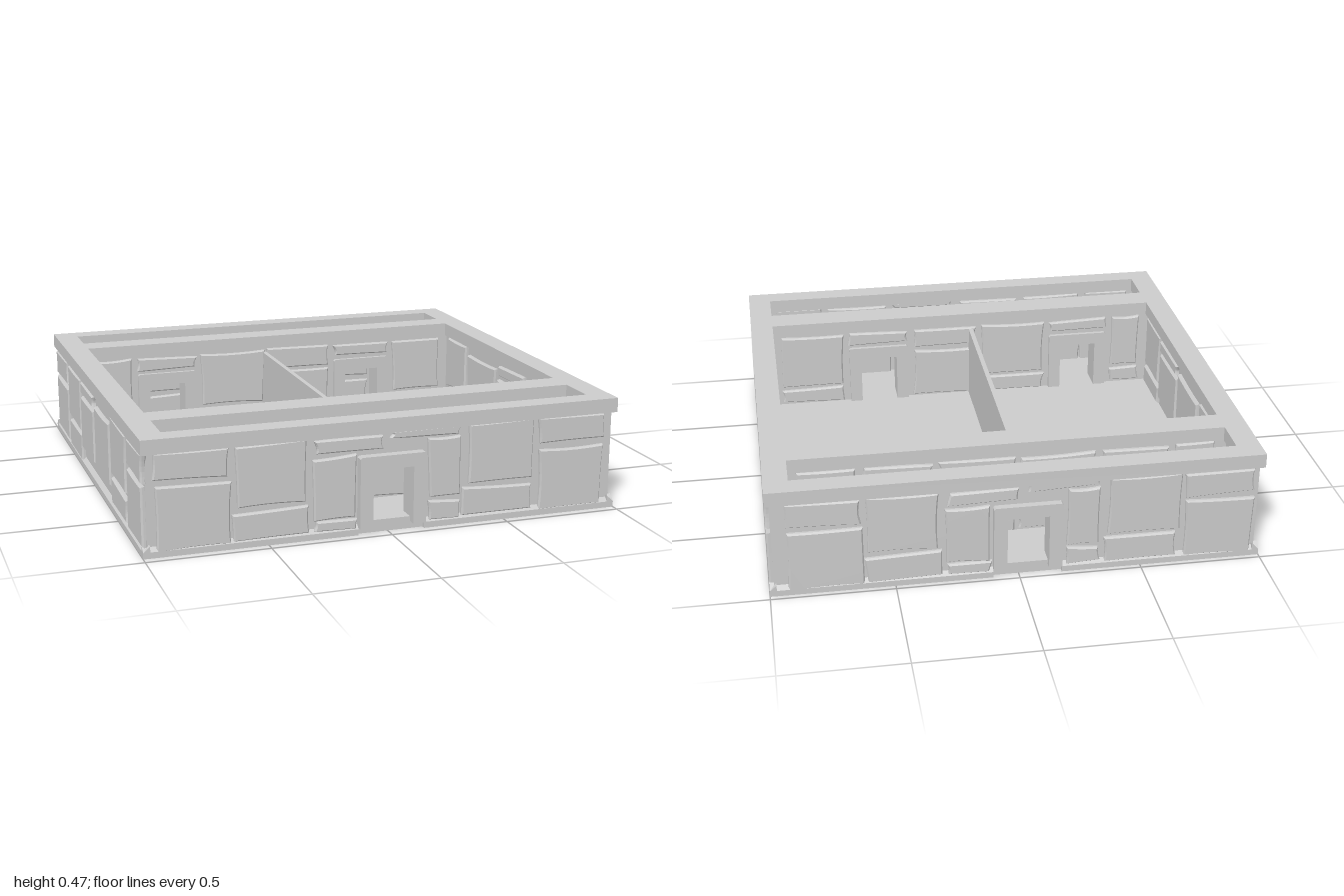
import * as THREE from 'three';

const OUT = 0.018;            // how far stones and cap stand out from the wall body
const FLOOR = 0.05, CAP_Y = 0.41, TOP = 0.47;
const mat = new THREE.MeshStandardMaterial({ color: 0xcccccc, flatShading: true });

let seed = 7;
const rand = () => (seed = (seed * 16807) % 2147483647) / 2147483647 - 0.5;

function add(parent, name, geo, x = 0, y = 0, z = 0) {
  const m = new THREE.Mesh(geo, mat);
  m.name = name;
  m.position.set(x, y, z);
  parent.add(m);
  return m;
}

function box(parent, name, x0, x1, y0, y1, z0, z1) {
  return add(parent, name, new THREE.BoxGeometry(x1 - x0, y1 - y0, z1 - z0),
    (x0 + x1) / 2, (y0 + y1) / 2, (z0 + z1) / 2);
}

function rect(x0, x1, y0, y1, Type = THREE.Shape) {
  const s = new Type();
  s.moveTo(x0, y0); s.lineTo(x1, y0); s.lineTo(x1, y1); s.lineTo(x0, y1); s.closePath();
  return s;
}

// Rough stone slab: uneven corners, bowed edges, bevelled rim
function stone(x0, x1, y0, y1) {
  const b = 0.006, j = () => rand() * 0.014;
  const c = [[x0 + b, y0 + b], [x1 - b, y0 + b], [x1 - b, y1 - b], [x0 + b, y1 - b]]
    .map(([x, y]) => [x + j(), y + j()]);
  const mx = (x0 + x1) / 2, my = (y0 + y1) / 2;
  const s = new THREE.Shape();
  s.moveTo(...c[0]);
  for (let i = 0; i < 4; i++) {
    const p = c[i], q = c[(i + 1) % 4];
    const ex = (p[0] + q[0]) / 2, ey = (p[1] + q[1]) / 2, k = 0.05 + rand() * 0.1;
    s.quadraticCurveTo(ex + (mx - ex) * k, ey + (my - ey) * k, ...q);
  }
  return new THREE.ExtrudeGeometry(s, {
    depth: 0.01, bevelThickness: 0.008, bevelSize: b, bevelSegments: 1, curveSegments: 5,
  });
}

// A wall face covered with stones; local +z points out of the wall
function stoneFace(parent, name, list, x, z, turn) {
  const g = new THREE.Group();
  g.name = name;
  list.forEach(r => add(g, 'stone', stone(...r)));
  g.position.set(x, 0, z);
  g.rotation.y = turn;
  parent.add(g);
}

// Sloped skirting along a wall foot, from u0 to u1
function skirt(parent, u0, u1, x, z, turn) {
  const s = new THREE.Shape([[-0.01, 0], [OUT, 0], [OUT, 0.025], [-0.01, 0.05]]
    .map(p => new THREE.Vector2(...p)));
  const geo = new THREE.ExtrudeGeometry(s, { depth: u1 - u0, bevelEnabled: false });
  geo.rotateY(-Math.PI / 2).translate(u1, 0, 0);
  add(parent, 'skirting', geo, x, 0, z).rotation.y = turn;
}

// Wall across x with doorways, plus a frame in each doorway
function crossWall(parent, name, half, z0, z1, doors, f0, f1) {
  const s = rect(-half, half, 0.02, CAP_Y + 0.01);
  doors.forEach(d => s.holes.push(rect(d - 0.085, d + 0.085, FLOOR, 0.27, THREE.Path)));
  add(parent, name, new THREE.ExtrudeGeometry(s, { depth: z1 - z0, bevelEnabled: false }), 0, 0, z0);
  const f = new THREE.Shape([[-0.14, 0.03], [-0.085, 0.03], [-0.085, 0.27], [0.085, 0.27],
    [0.085, 0.03], [0.14, 0.03], [0.14, 0.318], [0.133, 0.325], [-0.133, 0.325], [-0.14, 0.318]]
    .map(p => new THREE.Vector2(...p)));
  doors.forEach(d => add(parent, 'doorFrame',
    new THREE.ExtrudeGeometry(f, { depth: f1 - f0, bevelEnabled: false }), d, 0, f0));
}

const frontStones = [
  [-0.95, -0.66, 0.30, 0.41], [-0.95, -0.65, 0.02, 0.28], [-0.63, -0.35, 0.16, 0.41],
  [-0.64, -0.34, 0.03, 0.14], [-0.32, -0.14, 0.08, 0.33], [-0.31, -0.14, 0.03, 0.07],
  [-0.31, -0.03, 0.35, 0.405], [0.01, 0.30, 0.385, 0.42], [0.17, 0.30, 0.12, 0.375],
  [0.17, 0.30, 0.03, 0.105], [0.34, 0.63, 0.16, 0.41], [0.32, 0.62, 0.03, 0.145],
  [0.65, 0.94, 0.30, 0.41], [0.65, 0.94, 0.02, 0.28]];
const sideStones = [
  [-0.92, -0.63, 0.295, 0.41], [-0.92, -0.63, 0.03, 0.28], [-0.61, -0.31, 0.165, 0.40],
  [-0.60, -0.30, 0.03, 0.145], [-0.29, 0, 0.10, 0.33], [-0.29, -0.01, 0.35, 0.395],
  [0.02, 0.33, 0.10, 0.37], [0.37, 0.66, 0.165, 0.41], [0.37, 0.66, 0.04, 0.145],
  [0.69, 0.95, 0.30, 0.41], [0.69, 0.95, 0.04, 0.28]];
const roomSideStones = [
  [-0.55, -0.31, 0.165, 0.40], [-0.55, -0.30, 0.06, 0.145], [-0.29, 0, 0.10, 0.33],
  [-0.29, -0.01, 0.345, 0.40], [0.02, 0.33, 0.10, 0.37], [0.36, 0.58, 0.165, 0.40],
  [0.36, 0.58, 0.06, 0.145]];

// Stones filling the gaps beside the two doors of an inner wall
function doorWallStones(doors) {
  const edges = [-0.88, ...doors.flatMap(d => [d - 0.16, d + 0.16]), 0.88];
  const list = [];
  for (let i = 0; i < edges.length; i += 2) {
    const a = edges[i], b = edges[i + 1], n = Math.max(1, Math.round((b - a) / 0.3)), w = (b - a) / n;
    for (let k = 0; k < n; k++) {
      const l = a + k * w + 0.01, r = a + (k + 1) * w - 0.01, low = k % 2;
      list.push([l, r, low ? 0.06 : 0.15, low ? 0.29 : 0.40], [l, r, low ? 0.31 : 0.06, low ? 0.40 : 0.13]);
    }
  }
  doors.forEach(d => list.push([d - 0.14, d + 0.14, 0.345, 0.40]));
  return list;
}
const mirrored = list => list.map(([a, b, c, d]) => [-b, -a, c, d]);

export function createModel() {
  const g = new THREE.Group();
  g.name = 'stoneBuilding';
  const X = 1 - OUT, ZF = 0.965 - OUT, ZB = -0.98 + OUT, H = Math.PI / 2;
  const frontDoor = [0.01], backDoor = [-0.035];
  const innerFront = [-0.565, 0.405], innerBack = [-0.525, 0.455];

  // Floor slab and room divider
  box(g, 'floor', -X, X, 0, FLOOR, ZB, ZF);
  box(g, 'partition', -0.05, -0.03, FLOOR, 0.39, -0.633, 0.593);

  // Wall cap with openings over the rooms and both passages
  const cap = rect(-1, 1, -0.965, 0.98);
  [[-0.875, -0.70], [-0.575, 0.615], [0.73, 0.89]]
    .forEach(([a, b]) => cap.holes.push(rect(-0.9, 0.9, a, b, THREE.Path)));
  const capGeo = new THREE.ExtrudeGeometry(cap, { depth: TOP - CAP_Y, bevelEnabled: false });
  add(g, 'wallCap', capGeo.rotateX(-H), 0, CAP_Y, 0);

  // Wall bodies
  for (const s of [-1, 1]) {
    box(g, 'sideWall', Math.min(s * X, s * (0.9 + OUT)), Math.max(s * X, s * (0.9 + OUT)),
      0.02, CAP_Y + 0.01, ZB, ZF);
  }
  crossWall(g, 'frontWall', X, 0.875 + OUT, ZF, frontDoor, 0.875, 0.985);
  crossWall(g, 'backWall', X, ZB, -0.89 - OUT, backDoor, -0.99, -0.89);
  crossWall(g, 'innerFrontWall', 0.93, 0.575 + OUT, 0.70 - OUT, innerFront, 0.575, 0.70);
  crossWall(g, 'innerBackWall', 0.93, -0.73 + OUT, -0.615 - OUT, innerBack, -0.73, -0.615);

  // Outer stonework
  const backStones = frontStones.map(([a, b, c, d]) => [a + 0.025, b + 0.025, c, d]);
  stoneFace(g, 'frontStones', frontStones, 0, ZF, 0);
  stoneFace(g, 'backStones', backStones, 0, ZB, Math.PI);
  stoneFace(g, 'rightSideStones', sideStones, X, 0, H);
  stoneFace(g, 'leftSideStones', sideStones, -X, 0, -H);

  // Inner stonework of the rooms and passages
  const fs = doorWallStones(innerFront), bs = doorWallStones(innerBack);
  const clip = frontStones.map(([a, b, c, d]) => [Math.max(a, -0.88), Math.min(b, 0.88), c, d]);
  stoneFace(g, 'roomFrontStones', mirrored(fs), 0, 0.575 + OUT, Math.PI);
  stoneFace(g, 'roomBackStones', bs, 0, -0.615 - OUT, 0);
  stoneFace(g, 'roomSideStones', roomSideStones, -0.9 - OUT, 0, H);
  stoneFace(g, 'roomSideStones', mirrored(roomSideStones), 0.9 + OUT, 0, -H);
  stoneFace(g, 'frontPassageStones', fs, 0, 0.70 - OUT, 0);
  stoneFace(g, 'frontPassageStones', mirrored(clip), 0, 0.875 + OUT, Math.PI);
  stoneFace(g, 'backPassageStones', mirrored(bs), 0, -0.73 + OUT, Math.PI);
  stoneFace(g, 'backPassageStones', clip.map(([a, b, c, d]) => [a - 0.035, b - 0.035, c, d]),
    0, -0.89 - OUT, 0);

  // Skirting, broken at the two outer doors
  skirt(g, -1, -0.13, 0, ZF, 0);
  skirt(g, 0.15, 1, 0, ZF, 0);
  skirt(g, -1, -0.105, 0, ZB, Math.PI);
  skirt(g, 0.175, 1, 0, ZB, Math.PI);
  skirt(g, -0.965, 0.98, X, 0, H);
  skirt(g, -0.98, 0.965, -X, 0, -H);
  return g;
}
